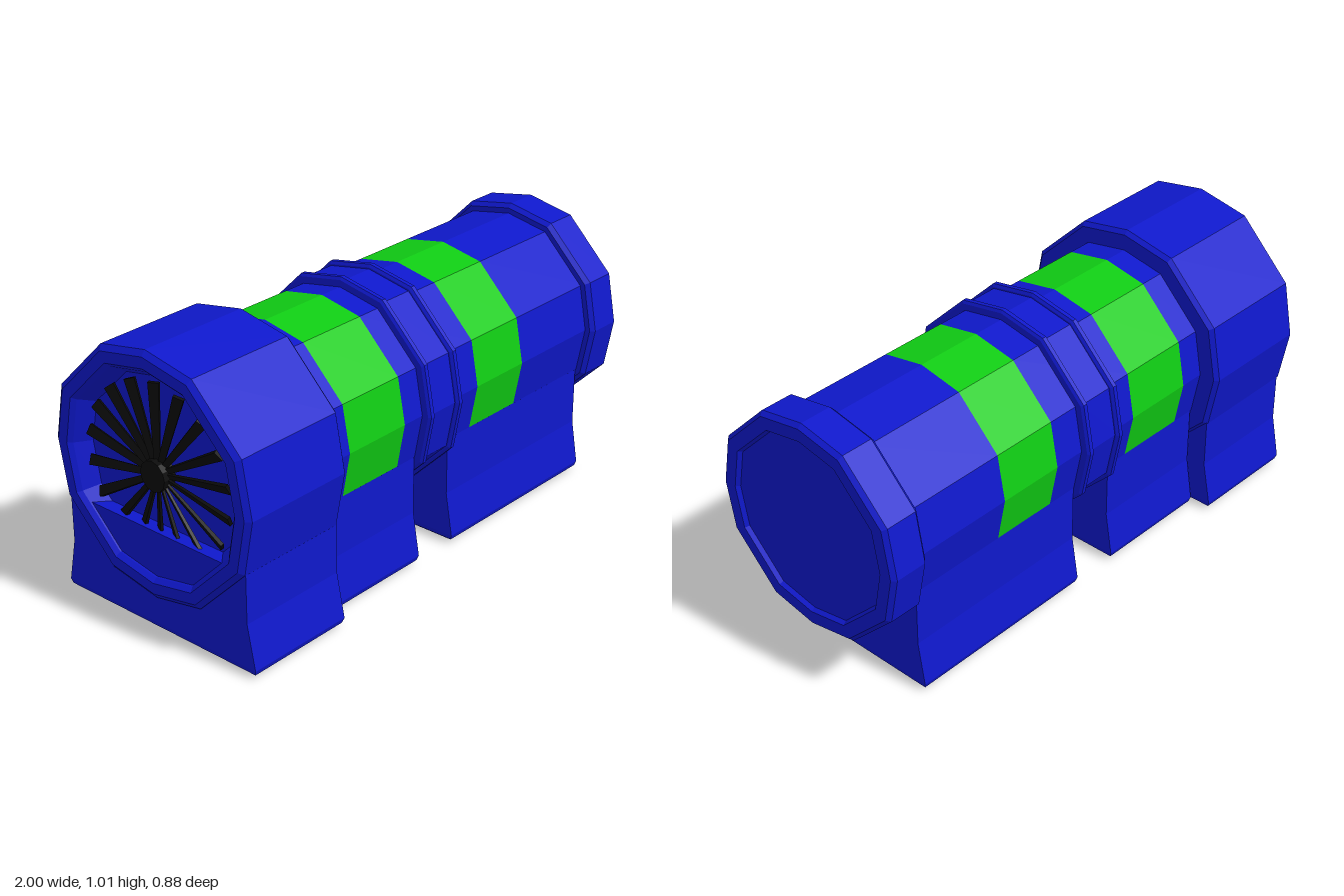
import * as THREE from 'three';

const mat = (color) => new THREE.MeshStandardMaterial({ color, flatShading: true, side: THREE.DoubleSide });
const blue = mat(0x0f18cc), green = mat(0x10cc14), black = mat(0x0a0a0a);
const AXIS_Y = 0.57;

// twelve-sided outline as [y, z] for radius 1, starting at the top
const OUTLINE = [];
for (let q = 0; q < 4; q++) {
  for (const [y, z] of [[1, 0], [0.914, 0.455], [0.455, 0.914]]) {
    OUTLINE.push([[y, z], [-z, y], [-y, -z], [z, -y]][q]);
  }
}

// skin over a list of cross-sections, flat faced
function loft(name, rings, material, { caps = true, closed = true } = {}) {
  const pos = [];
  const tri = (...pts) => pts.forEach((p) => pos.push(...p));
  const n = rings[0].length;
  for (let s = 0; s < rings.length - 1; s++) {
    for (let i = 0; i < (closed ? n : n - 1); i++) {
      const j = (i + 1) % n, a = rings[s], b = rings[s + 1];
      tri(a[i], a[j], b[j]);
      tri(a[i], b[j], b[i]);
    }
  }
  if (caps) {
    const a = rings[0], b = rings[rings.length - 1];
    for (let i = 1; i < n - 1; i++) {
      tri(a[0], a[i + 1], a[i]);
      tri(b[0], b[i], b[i + 1]);
    }
  }
  const geo = new THREE.BufferGeometry();
  geo.setAttribute('position', new THREE.Float32BufferAttribute(pos, 3));
  geo.computeVertexNormals();
  const mesh = new THREE.Mesh(geo, material);
  mesh.name = name;
  return mesh;
}

// outline ring at x with radius r
const ring = (x, r, outline = OUTLINE) => outline.map(([y, z]) => [x, AXIS_Y + y * r, z * r]);
const barrel = (name, stations) => loft(name, stations.map(([x, r]) => ring(x, r)), blue);

// flared foot with a bevelled sole, built upwards
function foot(name, x0, x1, top, w, flare) {
  const levels = [[0, flare - 0.025, 0.02], [0.012, flare - 0.006, 0.005], [0.03, flare, 0],
    [0.19, w, 0], [top, w, 0]];
  const rings = levels.map(([y, z, inset]) => [
    [x0 + inset, y, z], [x1 - inset, y, z], [x1 - inset, y, -z], [x0 + inset, y, -z]]);
  return loft(name, rings, blue);
}

export function createModel() {
  const model = new THREE.Group();
  model.name = 'turbineHousing';

  // main tube in sections, with coloured bands over the upper nine sides
  const R = 0.365;
  const upper = [8, 9, 10, 11, 0, 1, 2, 3, 4].map((i) => OUTLINE[i]);
  const lower = [4, 5, 6, 7, 8].map((i) => OUTLINE[i]);
  const sections = [[-0.57, -0.455], [-0.455, -0.18, true], [-0.18, 0.21], [0.21, 0.465, true], [0.465, 0.87]];
  for (const [a, b, band] of sections) {
    const strip = (name, outline, m, closed) =>
      model.add(loft(name, [ring(a, R, outline), ring(b, R, outline)], m, { caps: false, closed }));
    if (band) {
      strip('colourBand', upper, green, false);
      strip('tubeUnderBand', lower, blue, false);
    } else strip('tubeSection', OUTLINE, blue, true);
  }

  // wide intake housing with a recessed opening
  model.add(barrel('intakeHousing', [[-0.93, 0.33], [-0.985, 0.365], [-1, 0.38], [-1, 0.42], [-0.985, 0.44],
    [-0.565, 0.44], [-0.55, 0.425], [-0.55, 0.35]]));

  // end collar with a shallow recessed face
  model.add(barrel('endCollar', [[0.85, 0.35], [0.85, 0.385], [0.865, 0.4], [0.985, 0.4], [1, 0.385],
    [1, 0.338], [0.985, 0.328]]));

  // middle coupling and its two ridges
  model.add(barrel('coupling', [[-0.075, 0.384], [0.075, 0.384]]));
  for (const s of [-1, 1]) {
    const x = s * 0.075;
    model.add(barrel('couplingRidge', [[x - 0.014, 0.35], [x - 0.014, 0.39], [x - 0.008, 0.4],
      [x + 0.008, 0.4], [x + 0.014, 0.39], [x + 0.014, 0.35]]));
  }

  // feet
  model.add(foot('intakeFoot', -0.98, -0.56, 0.372, 0.4, 0.432));
  model.add(foot('middleFoot', -0.545, -0.09, 0.404, 0.333, 0.36));
  model.add(foot('longFoot', 0.09, 0.845, 0.404, 0.333, 0.36));

  // fan in the intake opening
  const fan = new THREE.Group();
  fan.name = 'fan';
  fan.position.set(-0.955, AXIS_Y, 0);
  const hub = new THREE.Mesh(new THREE.CylinderGeometry(0.055, 0.055, 0.05, 12), black);
  hub.name = 'fanHub';
  hub.rotation.z = Math.PI / 2;
  fan.add(hub);
  const bladeGeo = new THREE.CylinderGeometry(0.026, 0.014, 0.29, 4).rotateY(Math.PI / 4)
    .scale(0.35, 1, 1).rotateY(0.45).translate(0, 0.175, 0);
  const COUNT = 18;
  for (let i = 0; i < COUNT; i++) {
    const blade = new THREE.Mesh(bladeGeo, black);
    blade.name = 'fanBlade';
    blade.rotation.x = (i / COUNT) * Math.PI * 2;
    fan.add(blade);
  }
  model.add(fan);
  return model;
}
